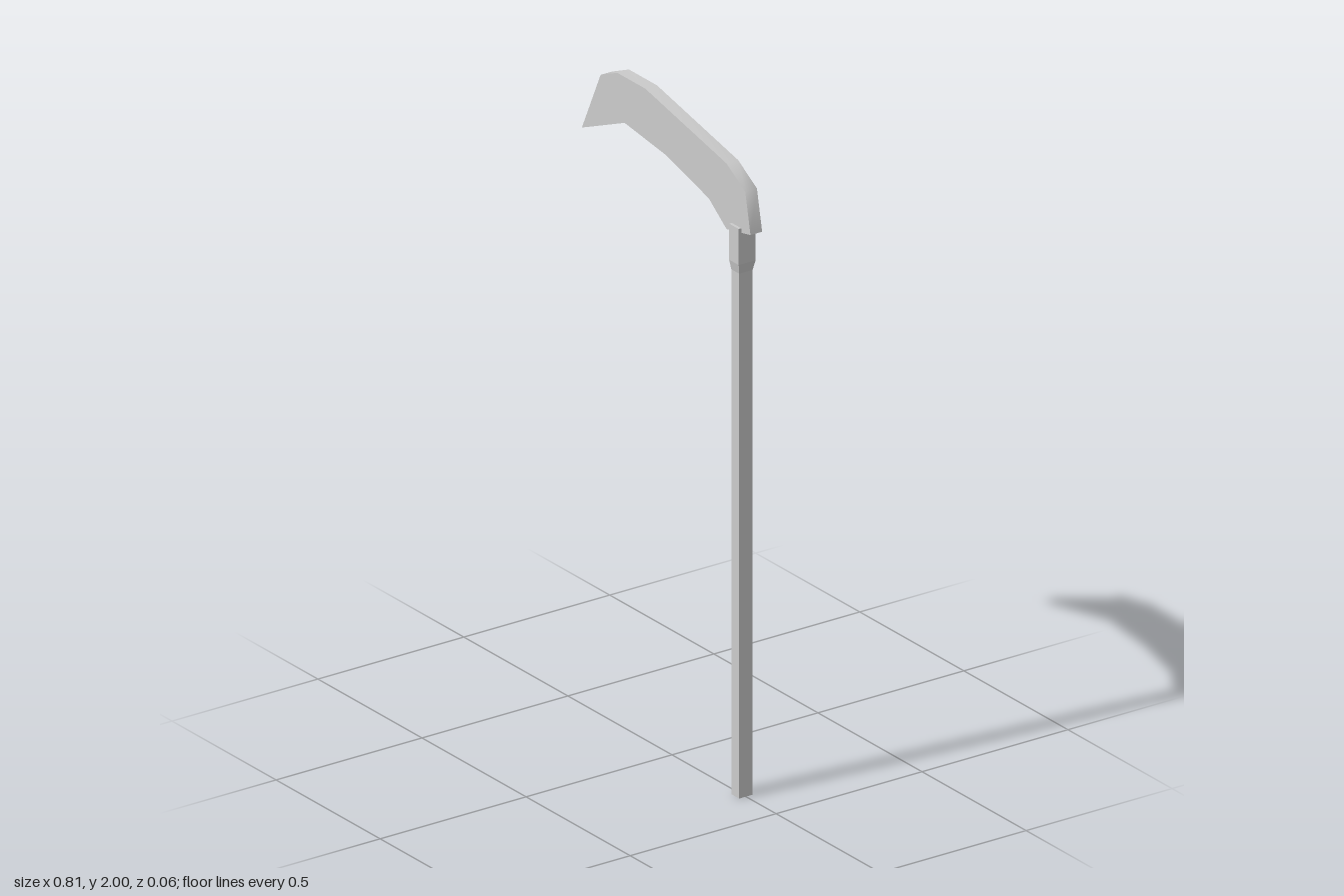
import * as THREE from 'three';
import { toCreasedNormals } from 'three/addons/utils/BufferGeometryUtils.js';

const material = new THREE.MeshStandardMaterial({ color: 0xcccccc });

function addMesh(group, name, geometry, x = 0, y = 0) {
  const mesh = new THREE.Mesh(geometry, material);
  mesh.name = name;
  mesh.position.set(x, y, 0);
  group.add(mesh);
}

export function createModel() {
  const group = new THREE.Group();
  group.name = 'scythe';

  // Curved blade: flat outline with a softly shaded rim
  const outline = [
    [-0.405, 1.772], [-0.2, 1.86], [0, 1.833], [0.205, 1.775], [0.29, 1.712], [0.405, 1.735],
    [0.38, 1.858], [0.29, 1.912], [-0.1, 2], [-0.235, 2], [-0.315, 1.965],
  ].map(([x, y]) => new THREE.Vector2(x, y));
  const thickness = 0.04;
  const blade = new THREE.ExtrudeGeometry(new THREE.Shape(outline), { depth: thickness, bevelEnabled: false });
  blade.translate(0, 0, -thickness / 2);
  addMesh(group, 'blade', toCreasedNormals(blade, 0.92));

  // Long square shaft
  const shaftWidth = 0.038, shaftDepth = 0.046, shaftTop = 1.61;
  addMesh(group, 'shaft', new THREE.BoxGeometry(shaftWidth, shaftTop, shaftDepth), 0.336, shaftTop / 2);

  // Collar gripping the blade, its foot tapering down to the shaft
  const collarWidth = 0.046, collarDepth = 0.058, collarBottom = 1.63, collarTop = 1.74;
  const height = collarTop - collarBottom;
  addMesh(group, 'collar', new THREE.BoxGeometry(collarWidth, height, collarDepth), 0.338, collarBottom + height / 2);

  const taperHeight = collarBottom - 1.6;
  const taper = new THREE.BoxGeometry(collarWidth, taperHeight, collarDepth);
  const p = taper.attributes.position;
  for (let i = 0; i < p.count; i++) {
    if (p.getY(i) > 0) continue;
    p.setX(i, Math.sign(p.getX(i)) * shaftWidth / 2 - 0.002);
    p.setZ(i, Math.sign(p.getZ(i)) * shaftDepth / 2);
  }
  taper.computeVertexNormals();
  addMesh(group, 'collarTaper', taper, 0.338, collarBottom - taperHeight / 2);

  return group;
}
